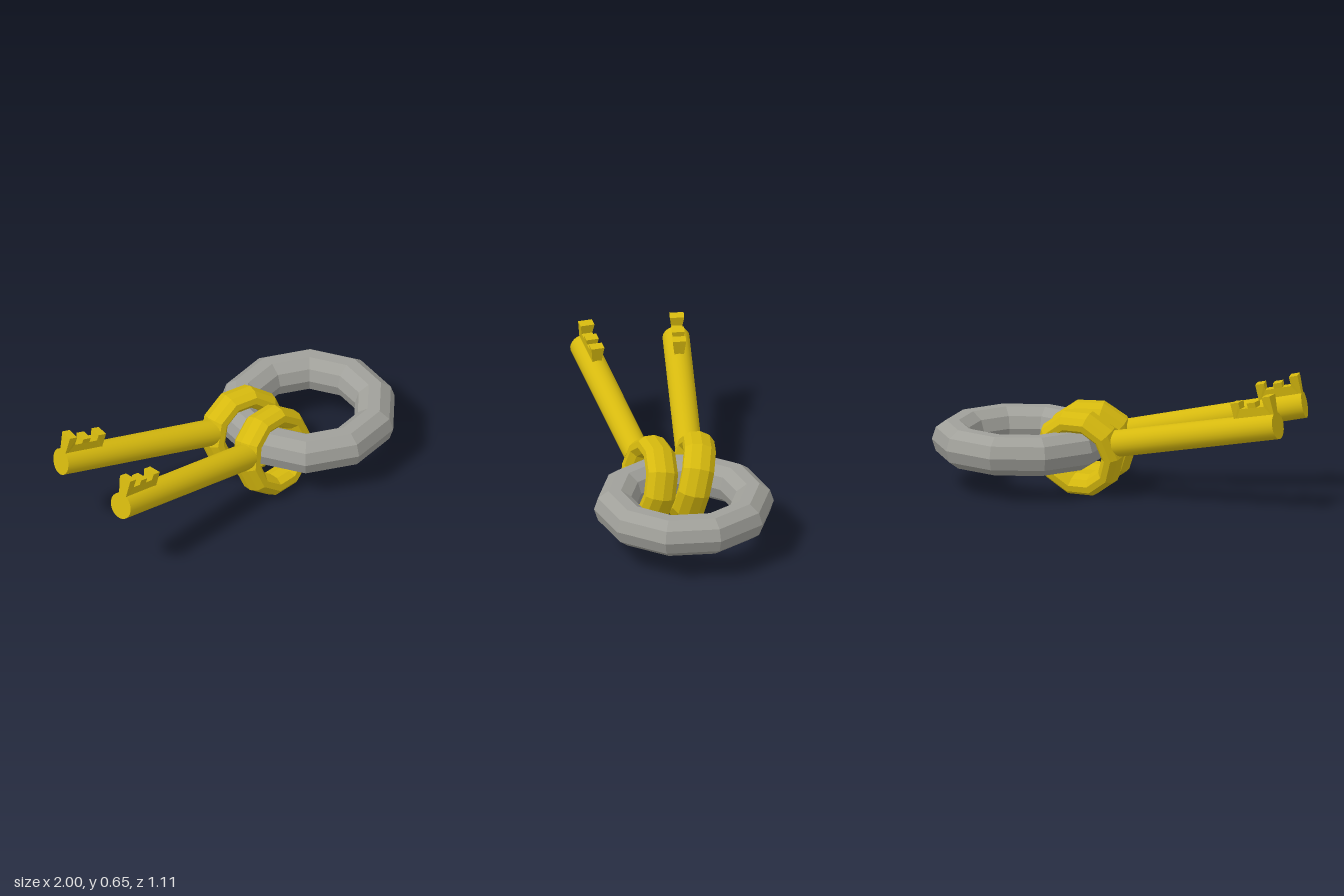
import * as THREE from 'three';

const steel = new THREE.MeshStandardMaterial({ color: 0xa0a09a, flatShading: true });
steel.name = 'steel grey';
const brass = new THREE.MeshStandardMaterial({ color: 0xd6b90e, flatShading: true });
brass.name = 'brass';
const brassSmooth = brass.clone();
brassSmooth.name = 'brass smooth';
brassSmooth.flatShading = false;

function part(name, geometry, material) {
  const mesh = new THREE.Mesh(geometry, material);
  mesh.name = name;
  return mesh;
}

// Toothed bit: stepped profile along -x, flaring wider away from the shaft
function bitGeometry(end) {
  const heights = [0.167, 0.115, 0.143, 0.115, 0.152];
  const step = 0.047;
  const shape = new THREE.Shape();
  shape.moveTo(-end, 0.04);
  heights.forEach((h, i) => {
    shape.lineTo(-end + i * step, h);
    shape.lineTo(-end + (i + 1) * step, h);
  });
  shape.lineTo(-end + heights.length * step, 0.04);
  shape.closePath();
  const geo = new THREE.ExtrudeGeometry(shape, { depth: 1, bevelEnabled: false });
  geo.translate(0, 0, -0.5);
  const p = geo.attributes.position;
  for (let i = 0; i < p.count; i++) {
    const halfWidth = 0.022 + Math.max(0, p.getY(i) - 0.07) * 0.17;
    p.setZ(i, p.getZ(i) * 2 * halfWidth);
  }
  geo.computeVertexNormals();
  return geo;
}

function makeKey(name, x, z, yaw, end) {
  const key = new THREE.Group();
  key.name = name;
  key.position.set(x, 0.232, z);
  key.rotation.y = -yaw;

  // Wide band bow, leaning back
  const bow = part('keyBow', new THREE.TorusGeometry(0.19, 0.057, 10, 10).scale(1, 1, 1.55), brass);
  bow.rotation.x = -0.23;
  key.add(bow);

  // Shaft and bit, rising away from the bow
  const stem = new THREE.Group();
  stem.name = 'keyStem';
  stem.position.y = 0.025;
  stem.rotation.z = -0.197;
  const start = 0.19;
  const shaft = part('keyShaft', new THREE.CylinderGeometry(0.072, 0.072, end - start, 24), brassSmooth);
  shaft.rotation.z = Math.PI / 2;
  shaft.position.x = -(start + end) / 2;
  stem.add(shaft, part('keyBit', bitGeometry(end), brass));
  key.add(stem);
  return key;
}

export function createModel() {
  const model = new THREE.Group();
  model.name = 'keysOnRing';

  // Large flat-lying ring
  const ring = part('keyRing', new THREE.TorusGeometry(0.37, 0.11, 10, 10), steel);
  ring.rotation.x = Math.PI / 2;
  ring.position.set(0.52, 0.25, 0.098);
  model.add(ring);

  model.add(makeKey('frontKey', 0.155, 0.137, 0.117, 1.172));
  model.add(makeKey('backKey', 0.2, -0.09, 0.354, 1.165));
  return model;
}
